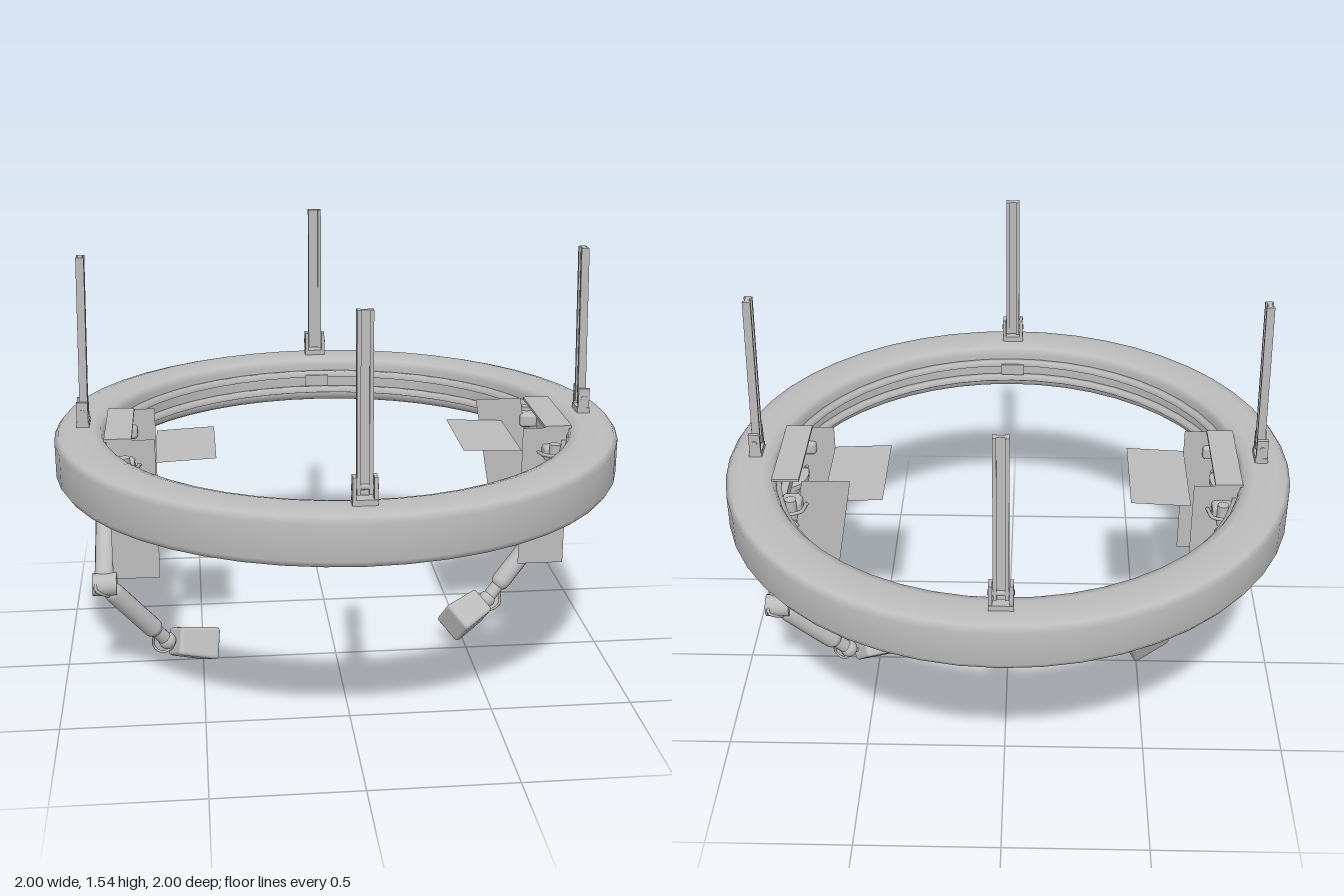
import * as THREE from 'three';
import { RoundedBoxGeometry } from 'three/addons/geometries/RoundedBoxGeometry.js';

const V = (x, y, z) => new THREE.Vector3(x, y, z);
const UP = V(0, 1, 0);

export function createModel() {
  const grey = new THREE.MeshStandardMaterial({ color: 0xbcbcbc, side: THREE.DoubleSide });
  grey.name = 'plain grey';
  const model = new THREE.Group();
  model.name = 'ceilingRingWithArms';

  const add = (parent, name, geometry, x = 0, y = 0, z = 0) => {
    const mesh = new THREE.Mesh(geometry, grey);
    mesh.name = name;
    mesh.position.set(x, y, z);
    parent.add(mesh);
    return mesh;
  };
  const box = (parent, name, w, h, d, x, y, z) => add(parent, name, new THREE.BoxGeometry(w, h, d), x, y, z);
  const aim = (mesh, a, b) => {
    mesh.position.copy(a).lerp(b, 0.5);
    mesh.quaternion.setFromUnitVectors(UP, b.clone().sub(a).normalize());
    return mesh;
  };
  const tube = (parent, name, points, r = 0.007) =>
    add(parent, name, new THREE.TubeGeometry(new THREE.CatmullRomCurve3(points), 20, r, 6));
  const sheet = (parent, name, corners) => {
    const g = new THREE.BufferGeometry().setFromPoints(corners);
    g.setIndex([0, 1, 2, 0, 2, 3]);
    g.computeVertexNormals();
    return add(parent, name, g);
  };

  // Main ring with softly rounded section
  const section = [[0.85, 0.768], [0.95, 0.768], [0.985, 0.778], [1, 0.8], [1, 0.92], [0.985, 0.94],
    [0.95, 0.95], [0.87, 0.95], [0.838, 0.94], [0.825, 0.915], [0.825, 0.8], [0.832, 0.778], [0.85, 0.768]];
  add(model, 'ring', new THREE.LatheGeometry(section.map(p => new THREE.Vector2(...p)), 48));

  // Rails on the inside of the ring
  for (const y of [0.82, 0.885]) {
    const rail = [[0.808, y - 0.012], [0.83, y - 0.012], [0.83, y + 0.012], [0.808, y + 0.012], [0.808, y - 0.012]];
    add(model, 'innerRail', new THREE.LatheGeometry(rail.map(p => new THREE.Vector2(...p)), 48));
  }
  for (const s of [-1, 1]) box(model, 'railJoint', 0.09, 0.045, 0.03, 0, 0.86, s * 0.815);

  // Four hanger posts with clevis feet
  for (let i = 0; i < 4; i++) {
    const hanger = new THREE.Group();
    hanger.name = 'hanger';
    hanger.rotation.y = i * Math.PI / 2;
    box(hanger, 'hangerFoot', 0.08, 0.022, 0.045, 0, 0.958, 0.898);
    for (const s of [-1, 1]) box(hanger, 'hangerCheek', 0.012, 0.08, 0.04, s * 0.033, 1.0, 0.898);
    add(hanger, 'hangerPin', new THREE.CylinderGeometry(0.01, 0.01, 0.084, 10), 0, 1.005, 0.898).rotation.z = Math.PI / 2;
    const post = new THREE.Group();
    post.name = 'hangerPost';
    post.position.set(0, 0.98, 0.894);
    post.rotation.x = -0.026;
    box(post, 'postWeb', 0.05, 0.57, 0.016, 0, 0.285, 0);
    for (const s of [-1, 1]) box(post, 'postFlange', 0.012, 0.57, 0.028, s * 0.019, 0.285, 0);
    hanger.add(post);
    model.add(hanger);
  }

  // Tapered hand block, wider toward its free end
  const handGeometry = new RoundedBoxGeometry(0.12, 0.16, 0.12, 2, 0.014);
  const hp = handGeometry.attributes.position;
  for (let i = 0; i < hp.count; i++) {
    const k = 0.92 + 0.9 * hp.getY(i);
    hp.setXYZ(i, hp.getX(i) * k, hp.getY(i), hp.getZ(i) * k);
  }
  handGeometry.computeVertexNormals();

  // One jointed arm through shoulder, elbow, wrist and hand tip
  const makeArm = (s, shoulder, elbow, wrist, tip) => {
    const arm = new THREE.Group();
    arm.name = s > 0 ? 'leftArm' : 'rightArm';
    const link = (name, a, b, r) => aim(add(arm, name,
      new THREE.CapsuleGeometry(r, a.distanceTo(b) - r, 4, 14)), a, b);
    const mid = (a, b, t) => a.clone().lerp(b, t);

    add(arm, 'shoulderPost', new THREE.CylinderGeometry(0.032, 0.036, 0.09, 16), shoulder.x, 0.72, shoulder.z);
    add(arm, 'shoulderJoint', new THREE.SphereGeometry(0.045, 16, 12)).position.copy(shoulder);
    link('upperArm', mid(shoulder, elbow, 0.06), mid(shoulder, elbow, 0.94), 0.036);
    add(arm, 'elbowJoint', new THREE.CylinderGeometry(0.04, 0.04, 0.085, 16)).position.copy(elbow);
    arm.children.at(-1).rotation.z = Math.PI / 2;
    link('forearm', mid(elbow, wrist, 0.1), mid(elbow, wrist, 0.8), 0.036);
    link('wristRod', mid(elbow, wrist, 0.7), wrist, 0.025);
    add(arm, 'wristJoint', new THREE.SphereGeometry(0.032, 14, 10)).position.copy(wrist);
    const near = mid(wrist, tip, 0.1);
    aim(add(arm, 'hand', handGeometry), near, tip);

    // Cables around wrist, elbow and shoulder
    tube(arm, 'wristCable', [mid(elbow, wrist, 0.8), wrist.clone().add(V(s * 0.05, -0.02, 0)),
      wrist.clone().add(V(s * 0.02, -0.045, 0)), mid(wrist, tip, 0.3)], 0.005);
    tube(arm, 'elbowCable', [mid(shoulder, elbow, 0.82), elbow.clone().add(V(s * 0.03, 0, Math.sign(elbow.z) * 0.045)),
      mid(elbow, wrist, 0.25)], 0.006);
    const z = shoulder.z;
    const d = Math.sign(z);
    tube(arm, 'shoulderCable', [V(shoulder.x, 0.745, z + d * 0.09), V(shoulder.x, 0.69, z + d * 0.095),
      V(shoulder.x, 0.675, z + d * 0.03), V(shoulder.x, 0.69, z - d * 0.1), V(shoulder.x, 0.745, z - d * 0.17)]);
    model.add(arm);
  };
  makeArm(1, V(0.825, 0.675, 0.1), V(0.835, 0.42, -0.21), V(0.6, 0.155, -0.125), V(0.425, 0.11, 0.015));
  makeArm(-1, V(-0.835, 0.675, -0.085), V(-0.84, 0.42, 0.205), V(-0.63, 0.135, 0.085), V(-0.455, 0.078, 0.01));

  // Carriages that ride on the ring, with thin shields
  for (const s of [-1, 1]) {
    const carriage = new THREE.Group();
    carriage.name = 'carriage';
    const panel = (z, x0, x1, t0, t1) => sheet(carriage, 'sideShield',
      [V(s * x0, 0.43, z), V(s * x1, 0.43, z), V(s * t1, 0.945, z), V(s * t0, 0.945, z)]);
    panel(0.185, 0.645, 0.81, 0.645, 0.81);
    if (s > 0) panel(-0.185, 0.63, 0.8, 0.545, 0.715);
    else panel(-0.185, 0.65, 0.81, 0.65, 0.81);
    box(carriage, 'topPlate', 0.095, 0.01, 0.37, s * 0.772, 0.945, 0);
    sheet(carriage, 'innerShield', [V(s * 0.435, 0.87, -0.185), V(s * 0.435, 0.87, 0.185),
      V(s * 0.645, 0.86, 0.185), V(s * 0.645, 0.86, -0.185)]);
    box(carriage, 'carriageBar', 0.03, 0.04, 0.34, s * 0.79, 0.855, 0);

    for (const e of [-1, 1]) {
      // Rollers, brackets and cable arches at both ends
      const z = e * 0.2;
      add(carriage, 'rollerBlock', new RoundedBoxGeometry(0.07, 0.05, 0.07, 2, 0.012), s * 0.75, 0.86, z);
      add(carriage, 'roller', new THREE.CylinderGeometry(0.02, 0.02, 0.08, 12), s * 0.75, 0.86, e * 0.235);
      tube(carriage, 'cableArch', [V(s * 0.8, 0.87, e * 0.26), V(s * 0.765, 0.875, e * 0.29),
        V(s * 0.715, 0.87, e * 0.27), V(s * 0.7, 0.86, e * 0.2)]);
      tube(carriage, 'lowCable', [V(s * 0.77, 0.84, e * 0.25), V(s * 0.73, 0.81, e * 0.26), V(s * 0.76, 0.77, e * 0.18)]);
      const disc = add(carriage, 'mountDisc', new THREE.CylinderGeometry(0.1, 0.1, 0.02, 24), s * 0.82, 0.755, e * 0.145);
      disc.scale.x = 0.75;
      add(carriage, 'mountHub', new THREE.CylinderGeometry(0.045, 0.045, 0.025, 18), s * 0.82, 0.737, e * 0.09);
    }
    model.add(carriage);
  }
  return model;
}
